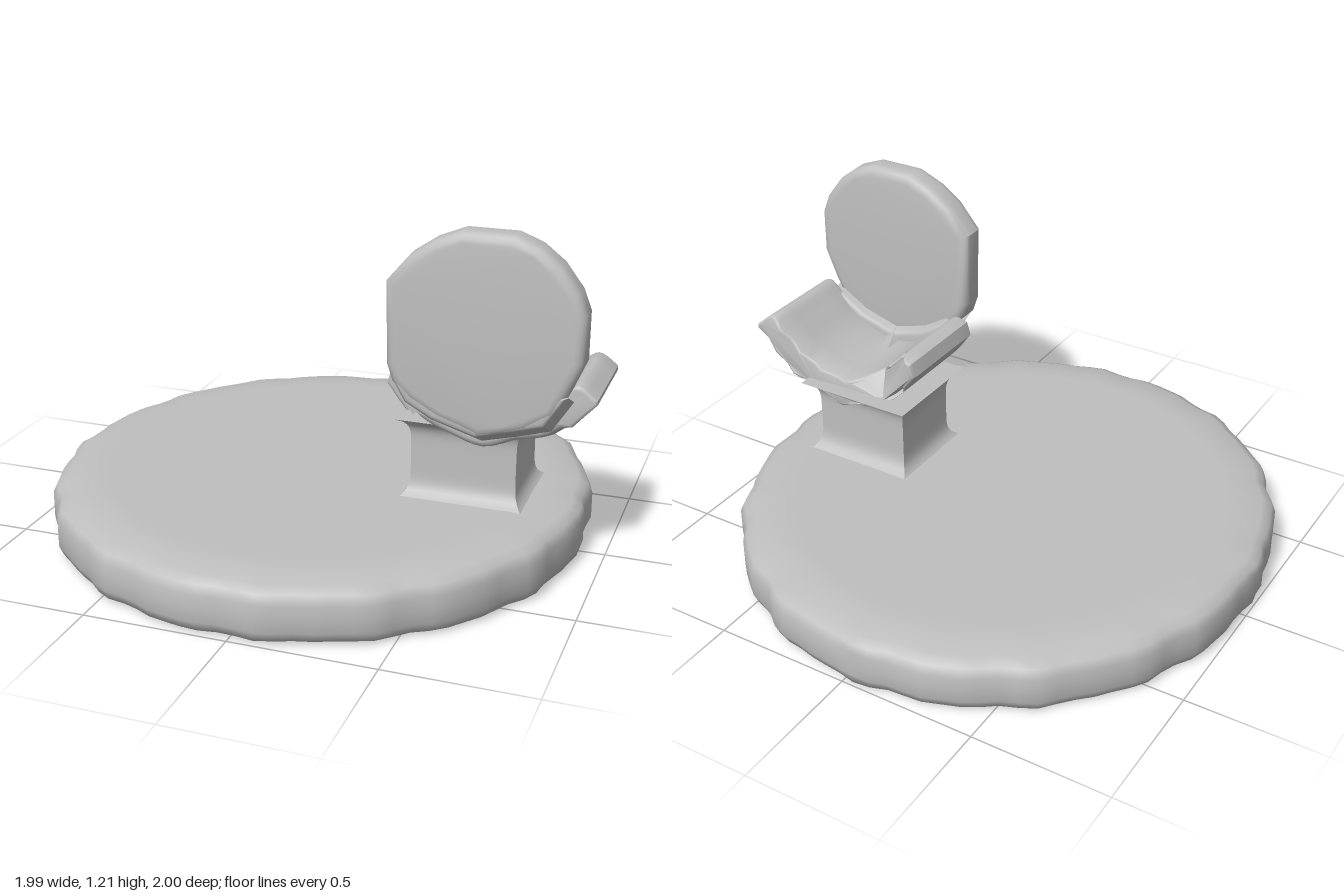
import * as THREE from 'three';
import { mergeVertices, toCreasedNormals } from 'three/addons/utils/BufferGeometryUtils.js';

const stone = new THREE.MeshStandardMaterial({ color: 0xbfbfbf });
stone.name = 'plain grey';

function part(name, geometry) {
  const mesh = new THREE.Mesh(geometry, stone);
  mesh.name = name;
  return mesh;
}

// Move every vertex of a geometry by a rule
function moveVertices(geometry, rule) {
  const pos = geometry.attributes.position;
  const v = new THREE.Vector3();
  for (let i = 0; i < pos.count; i++) {
    rule(v.fromBufferAttribute(pos, i));
    pos.setXYZ(i, v.x, v.y, v.z);
  }
  return geometry;
}

// Bevelled slab standing in the xy plane between two depths
function slab(points, back, front, bevel, steps = 1) {
  const shape = new THREE.Shape(points.map(([x, y]) => new THREE.Vector2(x, y)));
  const geometry = new THREE.ExtrudeGeometry(shape, {
    depth: front - back - 2 * bevel, steps,
    bevelEnabled: true, bevelThickness: bevel, bevelSize: bevel, bevelOffset: -bevel, bevelSegments: 4,
  });
  return geometry.translate(0, 0, back + bevel);
}

// Worn round plinth: a lathe with an uneven rim
function makeBase() {
  const profile = [[0, 0], [0.7, 0], [0.955, 0], [0.985, 0.012], [1, 0.045], [1, 0.09], [1, 0.14],
    [0.985, 0.172], [0.95, 0.19], [0.87, 0.203], [0.8, 0.206], [0, 0.206]]
    .map(([r, y]) => new THREE.Vector2(r, y));
  let geometry = new THREE.LatheGeometry(profile, 96);
  moveVertices(geometry, (v) => {
    const a = Math.atan2(v.z, v.x);
    const r = Math.hypot(v.x, v.z);
    const wobble = 0.007 * Math.sin(19 * a) + 0.005 * Math.sin(31 * a + 1) - 0.004;
    const k = 1 + wobble * THREE.MathUtils.smoothstep(r, 0.75, 1);
    v.x = THREE.MathUtils.clamp(v.x * k * 0.965, -0.96, 0.96) - 0.04;
    v.z = THREE.MathUtils.clamp(v.z * k * 1.005, -1, 1);
  });
  geometry.deleteAttribute('uv');
  geometry.deleteAttribute('normal');
  geometry = mergeVertices(geometry, 1e-4);
  geometry.computeVertexNormals();
  return geometry;
}

// Square post flaring into the plinth and the seat
function makePost() {
  const geometry = new THREE.BoxGeometry(0.37, 0.3, 0.29, 1, 20, 1);
  moveVertices(geometry, (v) => {
    const flare = 0.06 * Math.pow(Math.abs(v.y) / 0.15, 6);
    v.x += Math.sign(v.x) * flare * 0.7;
    v.z += Math.sign(v.z) * flare;
  });
  geometry.translate(0.525, 0.345, 0.02);
  return toCreasedNormals(geometry, 0.7);
}

// Trough-shaped seat with raised arms and a broken rear edge
function makeSeat() {
  const under = new THREE.CatmullRomCurve3([[0.275, 0.635], [0.33, 0.56], [0.4, 0.49], [0.5, 0.445],
    [0.61, 0.415], [0.72, 0.455], [0.83, 0.485], [0.985, 0.64]].map(([x, y]) => new THREE.Vector3(x, y, 0)));
  const over = new THREE.CatmullRomCurve3([[0.985, 0.655], [0.92, 0.7], [0.86, 0.655], [0.76, 0.575],
    [0.62, 0.53], [0.5, 0.555], [0.4, 0.64], [0.34, 0.695], [0.29, 0.685]]
    .map(([x, y]) => new THREE.Vector3(x, y, 0)));
  const outline = [...under.getPoints(28), ...over.getPoints(32)].map((p) => [p.x, p.y]);
  const geometry = slab(outline, -0.13, 0.25, 0.012, 4);
  moveVertices(geometry, (v) => {
    // The underside rises towards the backrest
    if (v.z > 0.2 && v.y < 0.53) v.y += 0.04 * (v.z - 0.2) / 0.05;
    if (v.z < -0.1) {
      const broken = THREE.MathUtils.smoothstep(v.x, 0.32, 0.36) * (1 - THREE.MathUtils.smoothstep(v.x, 0.5, 0.56))
        * THREE.MathUtils.smoothstep(v.y, 0.48, 0.56);
      v.z += broken * (0.07 + 0.025 * Math.sin(70 * v.x)) + 0.007 * Math.sin(55 * v.x + 20 * v.y);
    }
  });
  return toCreasedNormals(geometry, 0.65);
}

// Roughly cut round backrest
const backOutline = [[0.3, 1.02], [0.305, 0.74], [0.325, 0.68], [0.38, 0.625], [0.48, 0.57], [0.55, 0.548],
  [0.62, 0.52], [0.7, 0.54], [0.78, 0.565], [0.87, 0.625], [0.91, 0.7], [0.957, 0.81], [0.957, 0.97],
  [0.93, 1.04], [0.87, 1.12], [0.8, 1.175], [0.72, 1.207], [0.55, 1.207], [0.46, 1.17], [0.38, 1.115]];

export function createModel() {
  const group = new THREE.Group();
  group.name = 'seat on plinth';
  group.add(part('plinth', makeBase()));
  group.add(part('post', makePost()));
  group.add(part('seat', makeSeat()));
  group.add(part('backrest', toCreasedNormals(slab(backOutline, 0.255, 0.37, 0.035), 0.65)));

  // Lip joining the seat to the foot of the backrest
  const lip = [[0.33, 0.63], [0.37, 0.56], [0.46, 0.51], [0.61, 0.465], [0.74, 0.5], [0.84, 0.53],
    [0.91, 0.64], [0.86, 0.66], [0.76, 0.6], [0.62, 0.56], [0.49, 0.6], [0.39, 0.66]];
  const lipGeometry = moveVertices(slab(lip, 0.22, 0.365, 0.02), (v) => {
    v.y += 0.055 * THREE.MathUtils.smoothstep(v.z, 0.25, 0.36);
  });
  group.add(part('backrestLip', toCreasedNormals(lipGeometry, 0.65)));
  return group;
}
